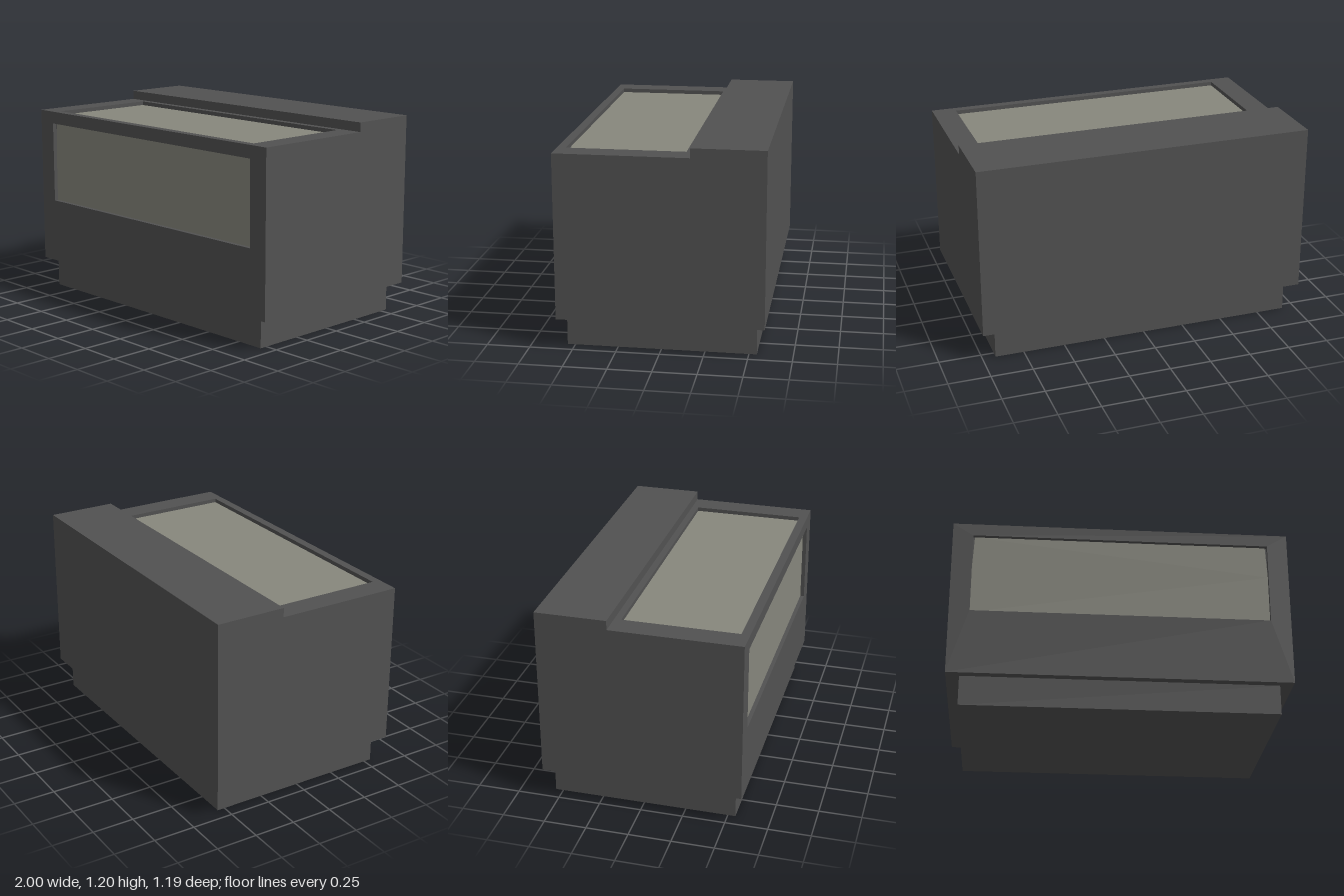
import * as THREE from 'three';

const BOTTOM = 0.178, TOP = 1.145, RIDGE_TOP = 1.2;
const DEPTH = 0.593, STEP_Z = -0.175, RECESS = 0.028;

function polygon(points) {
  return new THREE.Shape(points.map(([x, y]) => new THREE.Vector2(x, y)));
}

function rectangle(x0, y0, x1, y1) {
  return polygon([[x0, y0], [x1, y0], [x1, y1], [x0, y1]]);
}

function extrude(shape, depth) {
  return new THREE.ExtrudeGeometry(shape, { depth, bevelEnabled: false });
}

export function createModel() {
  const group = new THREE.Group();
  const casing = new THREE.MeshStandardMaterial({ color: 0x525252 });
  casing.name = 'dark grey casing';
  const panel = new THREE.MeshStandardMaterial({ color: 0x87877d });
  panel.name = 'pale grey panel';

  const add = (name, geometry, material) => {
    const mesh = new THREE.Mesh(geometry, material);
    mesh.name = name;
    group.add(mesh);
  };

  // Plinth set back under the body
  add('plinth', new THREE.BoxGeometry(1.844, BOTTOM, 1.09).translate(0, BOTTOM / 2, 0), casing);

  // Body with the raised rear ridge, a side profile swept across the width
  const inFront = DEPTH - RECESS, inTop = TOP - RECESS;
  const profile = polygon([
    [-DEPTH, BOTTOM], [inFront, BOTTOM], [inFront, inTop],
    [STEP_Z, inTop], [STEP_Z, RIDGE_TOP], [-DEPTH, RIDGE_TOP],
  ]);
  add('body', extrude(profile, 2).translate(0, 0, -1).rotateY(-Math.PI / 2), casing);

  // Front frame around the window opening
  const front = rectangle(-1, BOTTOM, 1, TOP);
  front.holes.push(rectangle(-0.88, 0.573, 0.88, 1.07));
  add('frontFrame', extrude(front, RECESS).translate(0, 0, inFront), casing);

  // Top frame, drawn in x and -z and laid flat
  const top = rectangle(-1, -inFront, 1, -STEP_Z);
  top.holes.push(rectangle(-0.858, -0.543, 0.858, 0.135));
  add('topFrame', extrude(top, RECESS).rotateX(-Math.PI / 2).translate(0, inTop, 0), casing);

  // Recessed panels, the front one narrowing slightly at its upper corners
  const window = polygon([
    [-0.88, 0.573], [0.88, 0.573], [0.88, 0.87],
    [0.87, 1.07], [-0.87, 1.07], [-0.88, 0.87],
  ]);
  add('frontPanel', extrude(window, 0.004).translate(0, 0, inFront), panel);
  const lid = rectangle(-0.858, -0.543, 0.858, 0.135);
  add('topPanel', extrude(lid, 0.004).rotateX(-Math.PI / 2).translate(0, inTop, 0), panel);

  return group;
}
